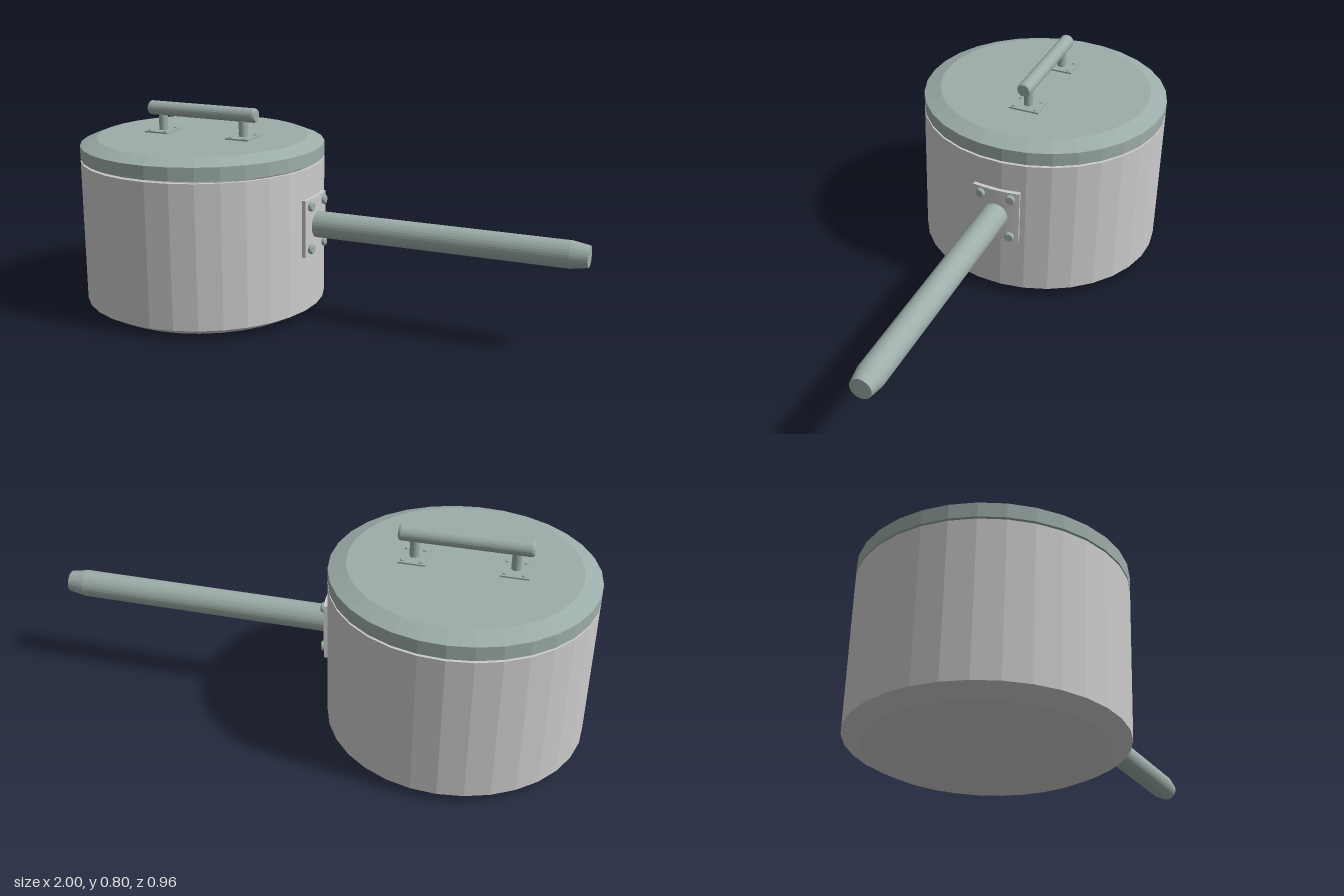
import * as THREE from 'three';

const steel = new THREE.MeshStandardMaterial({ color: 0xcccccc, flatShading: true });
const enamel = new THREE.MeshStandardMaterial({ color: 0x9dada9, flatShading: true });

function add(parent, name, geometry, material, x = 0, y = 0, z = 0) {
  const mesh = new THREE.Mesh(geometry, material);
  mesh.name = name;
  mesh.position.set(x, y, z);
  parent.add(mesh);
  return mesh;
}

const lathe = (points, sides) =>
  new THREE.LatheGeometry(points.map(([r, y]) => new THREE.Vector2(r, y)), sides);

// Round bar lying along x, given as [radius, x] from low x to high x
const bar = (points, sides) => lathe(points, sides).rotateZ(-Math.PI / 2);

export function createModel() {
  const model = new THREE.Group();
  model.name = 'saucepan';
  const pot = new THREE.Group();
  pot.name = 'pot';
  pot.position.x = -0.522;
  model.add(pot);

  // Hollow body with a chamfered foot
  add(pot, 'body', lathe([
    [0, 0], [0.415, 0], [0.479, 0.034], [0.479, 0.595],
    [0.465, 0.595], [0.465, 0.04], [0, 0.04],
  ], 32), steel);

  // Lid, floating a hair above the rim
  add(pot, 'lid', lathe([
    [0, 0.603], [0.479, 0.603], [0.479, 0.655], [0.415, 0.68], [0, 0.68],
  ], 32), enamel);

  // Both handles share one turned axis
  const turned = new THREE.Group();
  turned.name = 'handles';
  turned.rotation.y = THREE.MathUtils.degToRad(8.9);
  pot.add(turned);

  // Long side handle with a tapered tip
  add(turned, 'sideHandle', bar([
    [0, 0.47], [0.051, 0.47], [0.051, 1.468], [0.04, 1.533], [0, 1.533],
  ], 32), enamel, 0, 0.368, 0);

  // Curved mounting plate that follows the wall
  const half = 0.194;
  const sector = new THREE.Shape();
  sector.absarc(0, 0, 0.494, -half, half, false);
  sector.absarc(0, 0, 0.472, half, -half, true);
  const plate = new THREE.ExtrudeGeometry(sector, { depth: 0.224, bevelEnabled: false, curveSegments: 6 });
  plate.rotateX(-Math.PI / 2);
  add(turned, 'mountingPlate', plate, steel, 0, 0.256, 0);

  // Rivets of the mounting plate
  const rivet = bar([[0, 0], [0.019, 0], [0.019, 0.018], [0.015, 0.023], [0, 0.023]], 16);
  for (const y of [0.284, 0.453]) {
    for (const side of [-1, 1]) {
      const angle = side * 0.122;
      const mesh = add(turned, 'plateRivet', rivet, enamel,
        0.484 * Math.cos(angle), y, 0.484 * Math.sin(angle));
      mesh.rotation.y = -angle;
    }
  }

  // Grip on the lid
  add(turned, 'lidGrip', bar([
    [0, -0.237], [0.023, -0.237], [0.028, -0.229],
    [0.028, 0.229], [0.023, 0.237], [0, 0.237],
  ], 24), enamel, 0, 0.771, 0);

  // Posts, base plates and their rivets
  const post = new THREE.CylinderGeometry(0.018, 0.018, 0.085, 16);
  const base = new THREE.BoxGeometry(0.1, 0.008, 0.12);
  const pin = new THREE.CylinderGeometry(0.009, 0.011, 0.006, 12);
  for (const x of [-0.179, 0.179]) {
    add(turned, 'gripPost', post, enamel, x, 0.722, 0);
    add(turned, 'gripBase', base, enamel, x, 0.682, 0);
    for (const dx of [-0.033, 0.033]) {
      for (const dz of [-0.043, 0.043]) {
        add(turned, 'baseRivet', pin, enamel, x + dx, 0.687, dz);
      }
    }
  }
  return model;
}
